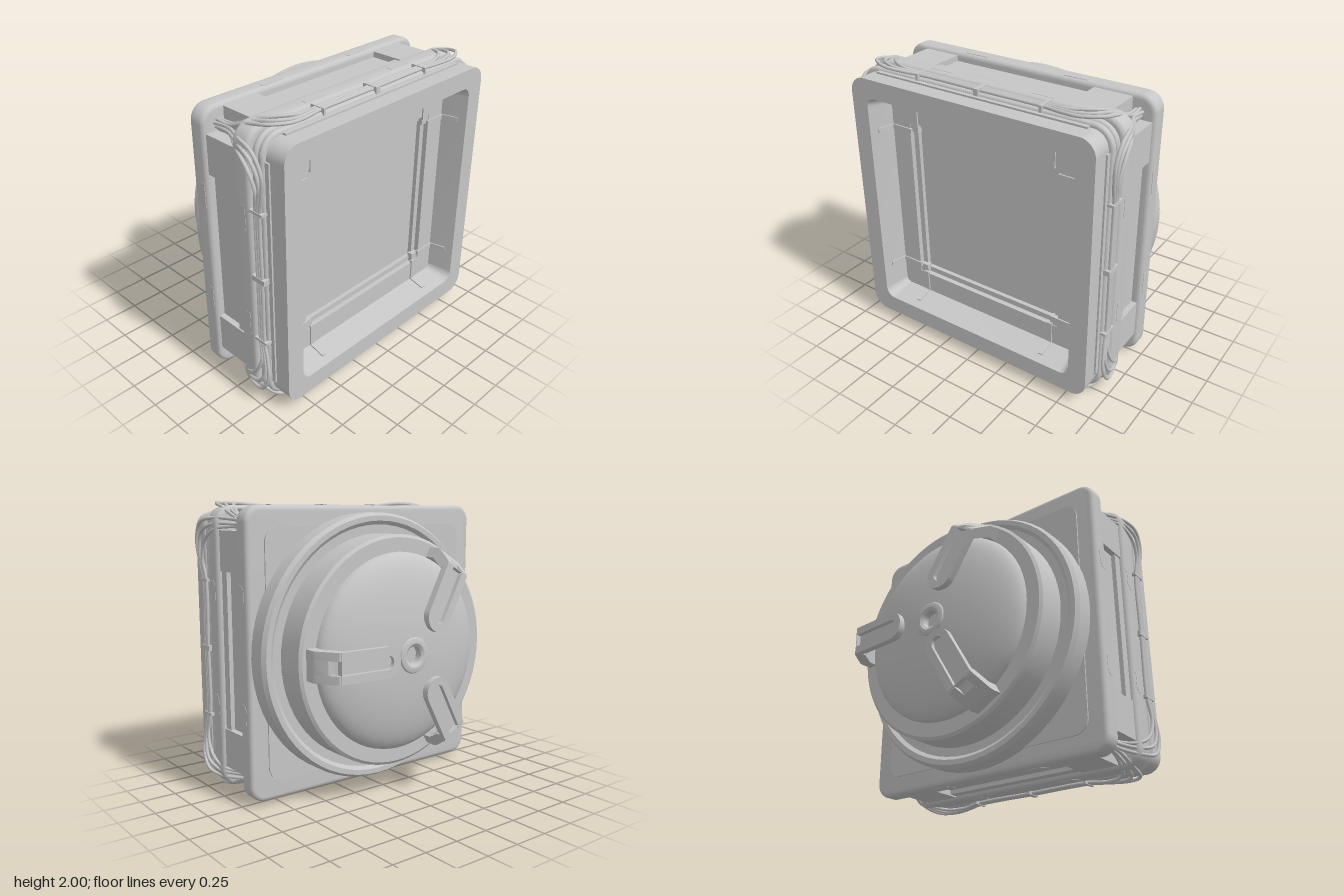
import * as THREE from 'three';
import { toCreasedNormals } from 'three/addons/utils/BufferGeometryUtils.js';

const grey = new THREE.MeshStandardMaterial({ color: 0xc6c6c6 });
grey.name = 'plain grey';

function add(parent, name, geo, x = 0, y = 0, z = 0) {
  const mesh = new THREE.Mesh(geo, grey);
  mesh.name = name;
  mesh.position.set(x, y, z);
  parent.add(mesh);
  return mesh;
}

const box = (w, h, d) => new THREE.BoxGeometry(w, h, d);

// Rounded rectangle outline between two corners
function roundedRect(x0, y0, x1, y1, r, C = THREE.Shape) {
  const s = new C();
  s.absarc(x1 - r, y1 - r, r, 0, Math.PI / 2);
  s.absarc(x0 + r, y1 - r, r, Math.PI / 2, Math.PI);
  s.absarc(x0 + r, y0 + r, r, Math.PI, Math.PI * 1.5);
  s.absarc(x1 - r, y0 + r, r, Math.PI * 1.5, Math.PI * 2);
  s.closePath();
  return s;
}
const square = (h, r, C) => roundedRect(-h, -h, h, h, r, C);

function extrude(shape, depth, bevel = 0) {
  const geo = new THREE.ExtrudeGeometry(shape, {
    depth: depth - 2 * bevel, bevelEnabled: bevel > 0, bevelSize: bevel,
    bevelThickness: bevel, bevelSegments: 4, curveSegments: 8,
  });
  geo.translate(0, 0, bevel);
  return toCreasedNormals(geo, 0.6);
}

// Square plate or ring lying between two z levels
function slab(parent, name, half, r, z0, z1, bevel = 0, hole = 0, holeR = 0.01) {
  const s = square(half - bevel, r - bevel);
  if (hole) s.holes.push(square(hole + bevel, holeR + bevel, THREE.Path));
  return add(parent, name, extrude(s, z1 - z0, bevel), 0, 0, z0);
}

// Tapered inward-facing wall of the front recess
function recessWall() {
  const rings = [[0.795, 0.07, 0.69], [0.75, 0.04, 0.51]].map(([h, r, z]) =>
    square(h, r).getPoints(8).map((p) => [p.x, p.y, z]));
  const pos = rings.flat(2), n = rings[0].length, idx = [];
  for (let i = 0; i < n; i++) {
    const j = (i + 1) % n;
    idx.push(i, j, n + i, j, n + j, n + i);
  }
  const geo = new THREE.BufferGeometry();
  geo.setAttribute('position', new THREE.Float32BufferAttribute(pos, 3));
  geo.setIndex(idx);
  return toCreasedNormals(geo, 0.6);
}

// One side of the housing, local +y pointing outward
function makeSide() {
  const g = new THREE.Group();
  g.name = 'housingSide';
  // pad with a sunken slot and a ledge along its front edge
  add(g, 'padBase', box(1.62, 0.21, 0.28), 0, 0.805, 0.17);
  for (const s of [-1, 1]) add(g, 'padBlock', box(0.27, 0.06, 0.28), s * 0.675, 0.92, 0.17);
  add(g, 'slotLedge', box(1.08, 0.04, 0.07), 0, 0.92, 0.27);
  add(g, 'neckStrip', box(1.6, 0.03, 0.04), 0, 0.922, 0.555);
  // small trapezoid marks on the flange and the collar
  const mark = new THREE.Shape([[-0.085, -0.03], [0.085, -0.03], [0.085, 0], [0.055, 0.03], [-0.055, 0.03], [-0.085, 0]]
    .map((p) => new THREE.Vector2(...p)));
  for (const u of [-0.39, 0.39]) for (const z of [-0.01, 0.365]) {
    add(g, 'edgeMark', extrude(mark, 0.006).rotateX(-Math.PI / 2), u, 0.968, z);
  }
  // cable clamps
  for (const u of [-0.47, 0, 0.47]) {
    add(g, 'cableClamp', box(u ? 0.018 : 0.036, 0.05, 0.11), u, 0.957, 0.497);
  }
  // loose cables sweeping from the flange round to the clamps
  const cables = [
    [[0.81, 0.85, 0.03], [0.835, 0.88, 0.18], [0.82, 0.96, 0.33], [0.75, 0.985, 0.44], [0.62, 0.98, 0.5], [0.47, 0.967, 0.48]],
    [[0.835, 0.87, 0.03], [0.85, 0.89, 0.18], [0.85, 0.965, 0.36], [0.8, 0.988, 0.485], [0.68, 0.983, 0.535], [0.47, 0.967, 0.5]],
    [[0.86, 0.88, 0.03], [0.88, 0.89, 0.18], [0.89, 0.96, 0.36], [0.86, 0.988, 0.5], [0.74, 0.985, 0.565], [0.6, 0.975, 0.55], [0.47, 0.967, 0.52]],
  ];
  for (const half of cables) {
    const path = [...half, [0, 0.967, half.at(-1)[2]], ...half.map(([x, y, z]) => [-x, y, z]).reverse()]
      .map((p) => new THREE.Vector3(...p));
    add(g, 'cable', new THREE.TubeGeometry(new THREE.CatmullRomCurve3(path, false, 'centripetal'), 90, 0.012, 8));
  }
  // ribs across the margin and wall of the recess
  for (const u of [-0.54, 0.54]) {
    add(g, 'recessRib', box(0.035, 0.17, 0.02), u, 0.67, 0.51);
    const wallRib = add(g, 'wallRib', box(0.035, 0.02, 0.12), u, 0.766, 0.57);
    wallRib.rotation.x = -0.245;
  }
  return g;
}

// Rear clip: local +x runs outward from the hub
function makeClip() {
  const g = new THREE.Group();
  g.name = 'rearClip';
  const outline = (x0, x1, w, C = THREE.Shape) => {
    const s = new C();
    s.moveTo(x1, -w);
    s.lineTo(x1, w);
    s.lineTo(x0 + w, w);
    s.absarc(x0 + w, 0, w, Math.PI / 2, Math.PI * 1.5);
    s.closePath();
    return s;
  };
  // slotted arm, leaning slightly toward the drum at its outer end
  const arm = outline(0.19, 0.64, 0.1);
  arm.holes.push(outline(0.245, 0.635, 0.045, THREE.Path));
  add(g, 'clipArm', extrude(arm, 0.04), 0, 0, -0.7).rotation.y = -0.05;
  add(g, 'clipArmFloor', extrude(outline(0.205, 0.63, 0.09), 0.03), 0, 0, -0.67).rotation.y = -0.05;
  // two leg rails joined by a web that is cut low at the bend
  const leg = (pts, w, y) => add(g, 'clipLeg', extrude(new THREE.Shape(
    pts.map((p) => new THREE.Vector2(...p))), w).translate(0, 0, -w / 2).rotateX(Math.PI / 2), 0, y, 0);
  const inner = [[0.665, -0.42], [0.665, -0.5], [0.6, -0.61]];
  const rail = [[0.62, -0.668], [0.65, -0.66], [0.735, -0.53], [0.742, -0.5], [0.735, -0.42], ...inner];
  const web = [[0.62, -0.633], [0.65, -0.61], [0.69, -0.599], [0.735, -0.53], [0.742, -0.5], [0.735, -0.42], ...inner];
  leg(rail, 0.055, 0.0725);
  leg(rail, 0.055, -0.0725);
  leg(web, 0.1, 0);
  return g;
}

export function createModel() {
  const model = new THREE.Group();
  model.name = 'squareHousing';
  const body = new THREE.Group();
  body.name = 'body';
  body.position.y = 1;
  model.add(body);

  // front frame and stepped recess
  slab(body, 'frontFrame', 0.925, 0.11, 0.54, 0.69, 0, 0.795, 0.07);
  add(body, 'recessWall', recessWall());
  slab(body, 'recessMargin', 0.78, 0.05, 0.43, 0.51, 0, 0.6);
  slab(body, 'recessStep', 0.61, 0.02, 0.43, 0.475, 0, 0.56);
  slab(body, 'backPanel', 0.57, 0.02, 0.42, 0.445);
  for (const x of [-0.57, 0.57]) for (const y of [-0.57, 0.57]) {
    add(body, 'panelCorner', box(0.07, 0.07, 0.04), x, y, 0.485);
  }

  // neck with two conduit bands
  slab(body, 'neck', 0.925, 0.11, 0.43, 0.56, 0, 0.8, 0.06);
  for (const z of [0.45, 0.5]) slab(body, 'conduitBand', 0.955, 0.14, z, z + 0.045, 0.02, 0.81, 0.06);

  // collar, core and rear flange
  slab(body, 'collar', 0.972, 0.13, 0.3, 0.44, 0.03);
  slab(body, 'core', 0.81, 0.02, 0, 0.35);
  slab(body, 'rearFlange', 0.972, 0.11, -0.085, 0.045, 0.03);
  slab(body, 'rearPlate', 0.84, 0.1, -0.095, -0.06);

  for (let k = 0; k < 4; k++) {
    const side = makeSide();
    side.rotation.z = k * Math.PI / 2;
    body.add(side);
  }

  // round rear: ring, drum, dome and hub in one turned profile
  const rear = new THREE.Group();
  rear.name = 'rearAssembly';
  rear.position.x = 0.027;
  body.add(rear);
  const profile = [[0.925, 0.06], [0.925, 0.205], [0.905, 0.235], [0.87, 0.235], [0.845, 0.215], [0.785, 0.215],
    [0.785, 0.415], [0.765, 0.43], [0.67, 0.43]];
  for (let i = 1; i <= 12; i++) {
    const a = (i / 12) * 1.39;
    profile.push([0.67 * Math.cos(a), 0.43 + 0.172 * Math.sin(a)]);
  }
  profile.push([0.115, 0.608], [0.1, 0.613], [0.08, 0.613], [0.06, 0.6], [0.06, 0.55], [0, 0.55]);
  const turned = new THREE.LatheGeometry(profile.map((p) => new THREE.Vector2(...p)), 64);
  add(rear, 'rearDome', toCreasedNormals(turned.rotateX(-Math.PI / 2), 0.5));

  for (let k = 0; k < 3; k++) {
    const clip = makeClip();
    clip.rotation.z = k * Math.PI * 2 / 3;
    rear.add(clip);
  }
  return model;
}
